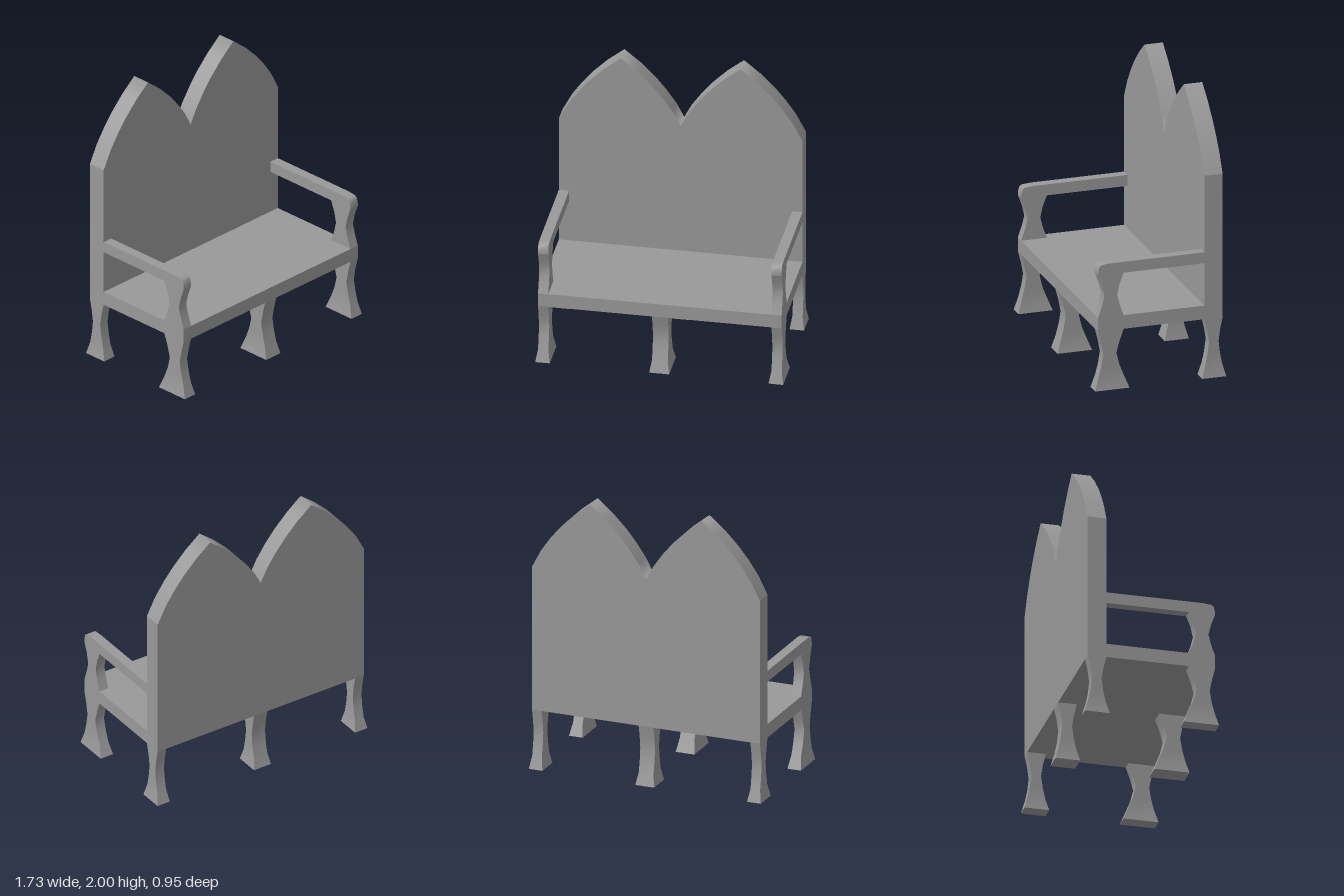
import * as THREE from 'three';
import { toCreasedNormals } from 'three/addons/utils/BufferGeometryUtils.js';

const material = new THREE.MeshStandardMaterial({ color: 0x999999 });
const CREASE = 0.75;

// Bar with rectangular cross-sections; rows run top to bottom: [y, zBack, zFront, half width in x]
function sectionBar(name, rows, x) {
  const n = rows.length - 1;
  const geo = new THREE.BoxGeometry(1, 1, 1, 1, n, 1);
  const p = geo.attributes.position;
  for (let i = 0; i < p.count; i++) {
    const [y, zBack, zFront, half] = rows[Math.round((0.5 - p.getY(i)) * n)];
    p.setXYZ(i, x + Math.sign(p.getX(i)) * half, y, p.getZ(i) > 0 ? zFront : zBack);
  }
  const mesh = new THREE.Mesh(toCreasedNormals(geo, CREASE), material);
  mesh.name = name;
  return mesh;
}

// Flat shape from [a, b] points, extruded by depth
function plate(points, depth) {
  const shape = new THREE.Shape(points.map(([a, b]) => new THREE.Vector2(a, b)));
  return new THREE.ExtrudeGeometry(shape, { depth, bevelEnabled: false });
}

// Blend the rim normals above height yMin, peaks and valley included; faces stay flat
function smoothRim(geo, yMin) {
  const p = geo.attributes.position, normals = geo.attributes.normal;
  const sums = new Map(), n = new THREE.Vector3();
  const key = (i) => p.getX(i).toFixed(3) + ',' + p.getY(i).toFixed(3);
  const rim = [...Array(p.count).keys()].filter((i) => p.getY(i) > yMin && Math.abs(normals.getZ(i)) < 0.5);
  for (const i of rim) {
    if (!sums.has(key(i))) sums.set(key(i), new THREE.Vector3());
    sums.get(key(i)).add(n.fromBufferAttribute(normals, i));
  }
  for (const i of rim) {
    n.copy(sums.get(key(i))).normalize();
    normals.setXYZ(i, n.x, n.y, n.z);
  }
  return geo;
}

export function createModel() {
  const group = new THREE.Group();
  const W = 0.852, BACK = -0.453, PANEL = -0.32, FRONT = 0.452;

  // Seat slab
  const seat = new THREE.Mesh(new THREE.BoxGeometry(2 * W, 0.1, FRONT - PANEL), material);
  seat.position.set(0, 0.48, (FRONT + PANEL) / 2);
  seat.name = 'seat';
  group.add(seat);

  // Back panel with two pointed arches
  const half = [[0, 1.51], [0.053, 1.612], [0.124, 1.713], [0.2, 1.805], [0.304, 1.908], [0.418, 2],
    [0.532, 1.908], [0.636, 1.805], [0.712, 1.713], [0.783, 1.612], [W, 1.48], [W, 0.43]];
  const mirrored = half.slice(1).reverse().map(([x, y]) => [-x, y]);
  const back = new THREE.Mesh(smoothRim(plate([...mirrored, ...half], PANEL - BACK), 1.5), material);
  back.position.z = BACK;
  back.name = 'backrest';
  group.add(back);

  // Waisted legs with flared feet: three at the front, three at the back
  const frontLeg = [[0.43, 0.265, 0.452], [0.345, 0.296, 0.43], [0.26, 0.318, 0.414],
    [0.175, 0.298, 0.428], [0.09, 0.264, 0.45], [0, 0.228, 0.477]];
  const backLeg = [[0.43, -0.453, -0.32], [0.345, -0.435, -0.341], [0.26, -0.424, -0.354],
    [0.175, -0.433, -0.343], [0.09, -0.45, -0.325], [0, -0.475, -0.3]];
  for (const x of [-0.816, 0, 0.816]) {
    const w = x === 0 ? 0.055 : 0.036;
    const widen = (rows) => rows.map(([y, a, b]) => [y, a, b, y === 0 ? w + 0.015 : w]);
    group.add(sectionBar('frontLeg', widen(frontLeg), x));
    group.add(sectionBar('backLeg', widen(backLeg), x));
  }

  // Waisted arm posts and armrests with a rounded front corner
  const post = [[0.84, 0.265, 0.452], [0.765, 0.295, 0.424], [0.685, 0.313, 0.405], [0.61, 0.295, 0.424], [0.53, 0.265, 0.452]]
    .map((row) => [...row, 0.036]);
  const arm = [[PANEL, 0.84], [0.452, 0.84], [0.452, 0.86], [0.443, 0.9], [0.425, 0.914], [0.36, 0.92], [PANEL, 0.92]];
  for (const x of [-0.816, 0.816]) {
    group.add(sectionBar('armPost', post, x));
    const rest = new THREE.Mesh(toCreasedNormals(plate(arm, 0.072), CREASE), material);
    rest.rotation.y = -Math.PI / 2;
    rest.position.x = x + 0.036;
    rest.name = 'armrest';
    group.add(rest);
  }
  return group;
}
